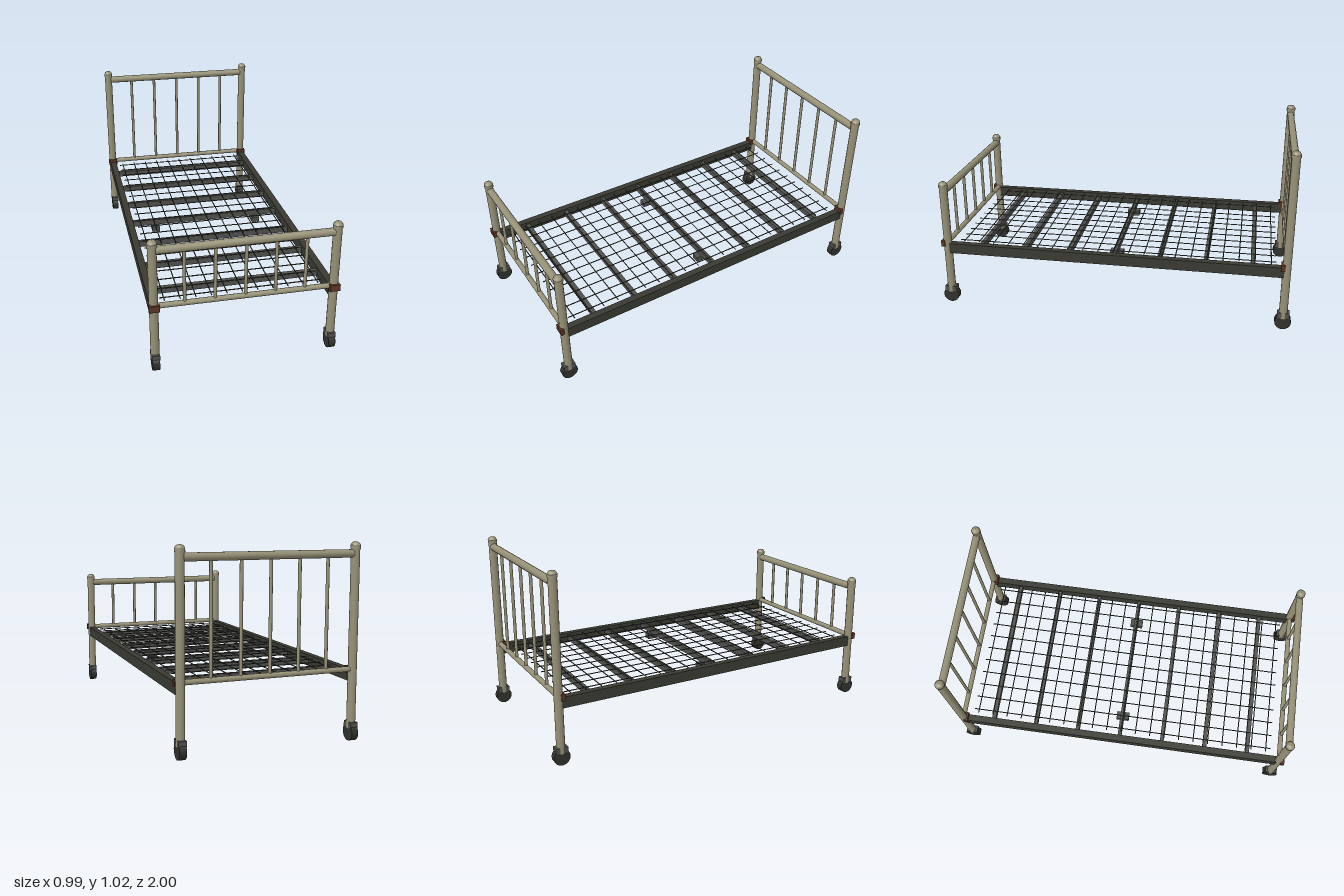
import * as THREE from 'three';

const mat = (name, color, extra = {}) => {
  const m = new THREE.MeshStandardMaterial({ color, ...extra });
  m.name = name;
  return m;
};

export function createModel() {
  const paint = mat('beige enamel', 0x959076);
  const steel = mat('dark steel', 0x3a3a33);
  const slatGrey = mat('slat grey', 0x50514d);
  const rubber = mat('black rubber', 0x30312c);
  const rust = mat('rusty brown', 0x5c3524);

  const bed = new THREE.Group();
  bed.name = 'bed';

  const add = (parent, name, geo, material, x, y, z) => {
    const mesh = new THREE.Mesh(geo, material);
    mesh.name = name;
    mesh.position.set(x, y, z);
    parent.add(mesh);
    return mesh;
  };
  const box = (parent, name, m, w, h, d, x, y, z) =>
    add(parent, name, new THREE.BoxGeometry(w, h, d), m, x, y, z);
  // Rod of a given length along the x, y or z axis
  const rod = (parent, name, m, r, len, axis, x, y, z, sides = 12) => {
    const g = new THREE.CylinderGeometry(r, r, len, sides);
    if (axis === 'x') g.rotateZ(Math.PI / 2);
    if (axis === 'z') g.rotateX(Math.PI / 2);
    return add(parent, name, g, m, x, y, z);
  };

  const POST_X = 0.465, POST_Z = 0.955;

  // Rounded finial with a short straight collar
  const capProfile = [[0, 0], [0.026, 0], [0.026, 0], [0.026, 0.018], [0.026, 0.018],
    [0.024, 0.02], [0.021, 0.027], [0.014, 0.033], [0, 0.036]]
    .map(([x, y]) => new THREE.Vector2(x, y));

  // Head or foot frame: two posts on casters, two rails and five spindles
  const endFrame = (name, z, topY, railY) => {
    const frame = new THREE.Group();
    frame.name = name;
    frame.position.z = z;
    bed.add(frame);
    const capY = topY - 0.036;
    for (const s of [-1, 1]) {
      const x = s * POST_X;
      rod(frame, 'post', paint, 0.0232, capY - 0.063, 'y', x, (capY + 0.067) / 2, 0, 16);
      add(frame, 'postCap', new THREE.LatheGeometry(capProfile, 16), paint, x, capY, 0);
      box(frame, 'cornerBracket', rust, 0.055, 0.036, 0.022, x, 0.373, 0.019);
      // Caster
      box(frame, 'casterFork', slatGrey, 0.042, 0.03, 0.066, x, 0.085, 0);
      rod(frame, 'casterWheel', rubber, 0.045, 0.037, 'x', x, 0.045, 0, 16);
    }
    rod(frame, 'topRail', paint, 0.021, 0.9, 'x', 0, railY, 0, 14);
    rod(frame, 'bottomRail', paint, 0.0145, 0.9, 'x', 0, 0.376, 0);
    for (let i = -2; i <= 2; i++) {
      rod(frame, 'spindle', paint, 0.009, railY - 0.376, 'y', i * 0.155, (railY + 0.376) / 2, 0, 10);
    }
  };
  endFrame('headFrame', -POST_Z, 1.025, 0.965);
  endFrame('footFrame', POST_Z, 0.743, 0.686);

  // Long side rails
  for (const s of [-1, 1]) box(bed, 'sideRail', steel, 0.038, 0.059, 1.88, s * 0.464, 0.343, 0);

  // Cross slats
  for (let i = -3; i <= 3; i++) {
    box(bed, 'slat', slatGrey, 0.885, 0.033, 0.023, 0, 0.346, i * 0.2565 - 0.005);
  }

  // Wire mesh
  const mesh = new THREE.Group();
  mesh.name = 'wireMesh';
  bed.add(mesh);
  for (let i = -5; i <= 5; i++) rod(mesh, 'longWire', steel, 0.003, 1.8, 'z', i * 0.0805, 0.366, 0, 6);
  for (let i = -10; i <= 10; i++) rod(mesh, 'crossWire', steel, 0.003, 0.85, 'x', 0, 0.366, i * 0.0873, 6);

  // Small blocks under the middle slat
  for (const s of [-1, 1]) box(bed, 'underBlock', slatGrey, 0.044, 0.032, 0.075, s * 0.31, 0.312, -0.003);

  return bed;
}
